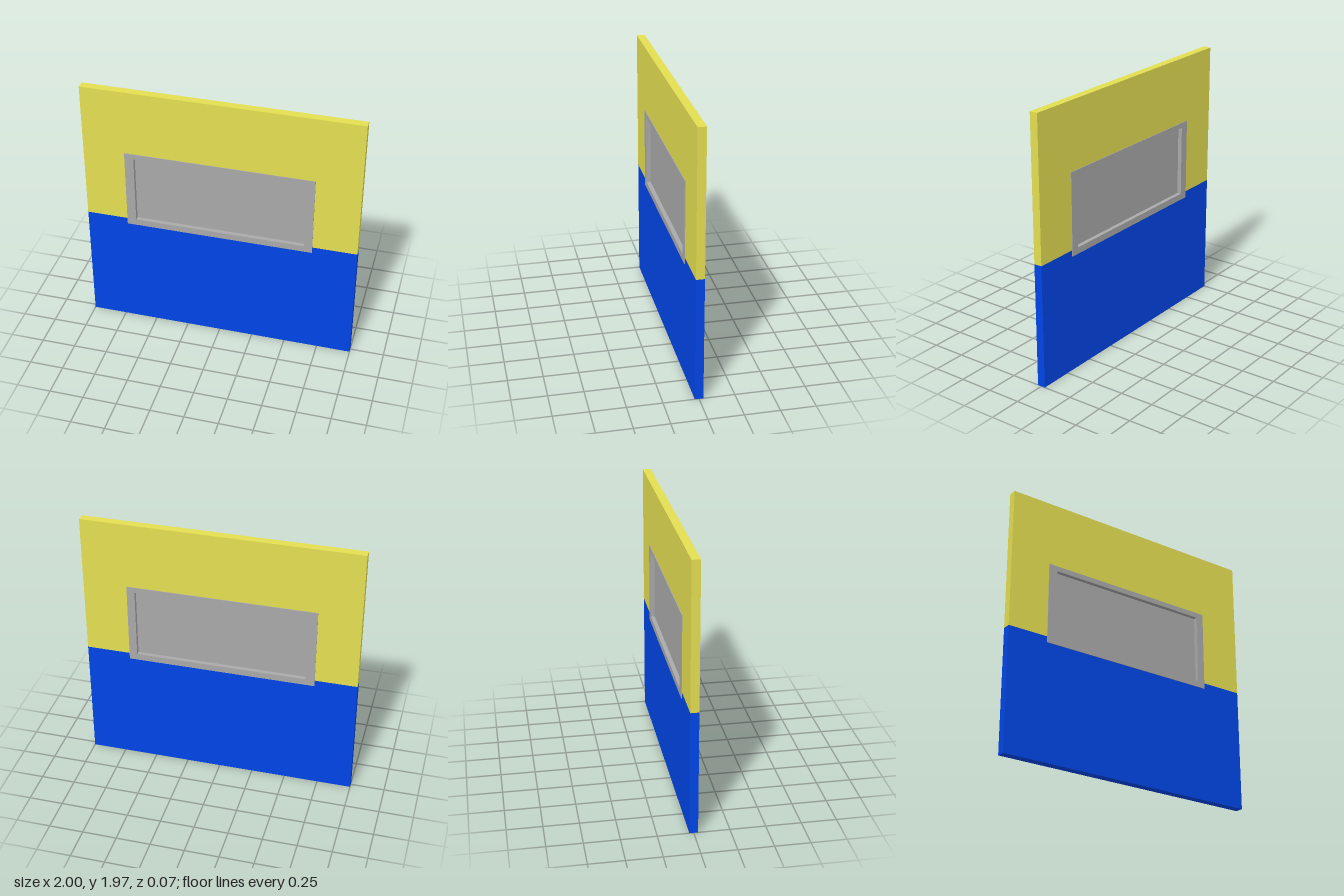
import * as THREE from 'three';

const yellow = new THREE.MeshStandardMaterial({ name: 'yellow paint', color: 0xe4de51 });
const blue = new THREE.MeshStandardMaterial({ name: 'blue paint', color: 0x0045e7 });
const grey = new THREE.MeshStandardMaterial({ name: 'grey metal', color: 0xa9a9a9 });

const SPLIT = 0.915, TOP = 1.967, WALL = 0.06, FRAME = 0.07;

function trace(path, points) {
  points.forEach(([x, y], i) => (i ? path.lineTo(x, y) : path.moveTo(x, y)));
  path.closePath();
  return path;
}

const rect = (x0, y0, x1, y1) => [[x0, y0], [x1, y0], [x1, y1], [x0, y1]];

// Flat panel of the given outline, centred on z = 0
function panel(name, material, depth, outline, hole) {
  const shape = trace(new THREE.Shape(), outline);
  if (hole) shape.holes.push(trace(new THREE.Path(), hole));
  const geometry = new THREE.ExtrudeGeometry(shape, { depth, bevelEnabled: false });
  geometry.translate(0, 0, -depth / 2);
  const mesh = new THREE.Mesh(geometry, material);
  mesh.name = name;
  return mesh;
}

export function createModel() {
  const model = new THREE.Group();
  model.name = 'windowWall';

  // Painted wall: the upper half is notched around the window
  model.add(panel('lowerWall', blue, WALL, rect(-1, 0, 1, SPLIT - 0.003)));
  model.add(panel('upperWall', yellow, WALL, [
    [-1, SPLIT - 0.003], [-0.66, SPLIT - 0.003], [-0.66, 1.46], [0.65, 1.46],
    [0.65, SPLIT - 0.003], [1, SPLIT - 0.003], [1, TOP], [-1, TOP],
  ]));

  // Frame stands slightly proud on both faces; the pane sits recessed inside it
  model.add(panel('windowFrame', grey, FRAME,
    rect(-0.695, 0.867, 0.678, 1.476), rect(-0.628, SPLIT, 0.62, 1.437)));
  model.add(panel('windowPane', grey, 0.009, rect(-0.64, 0.905, 0.63, 1.45)));

  return model;
}
